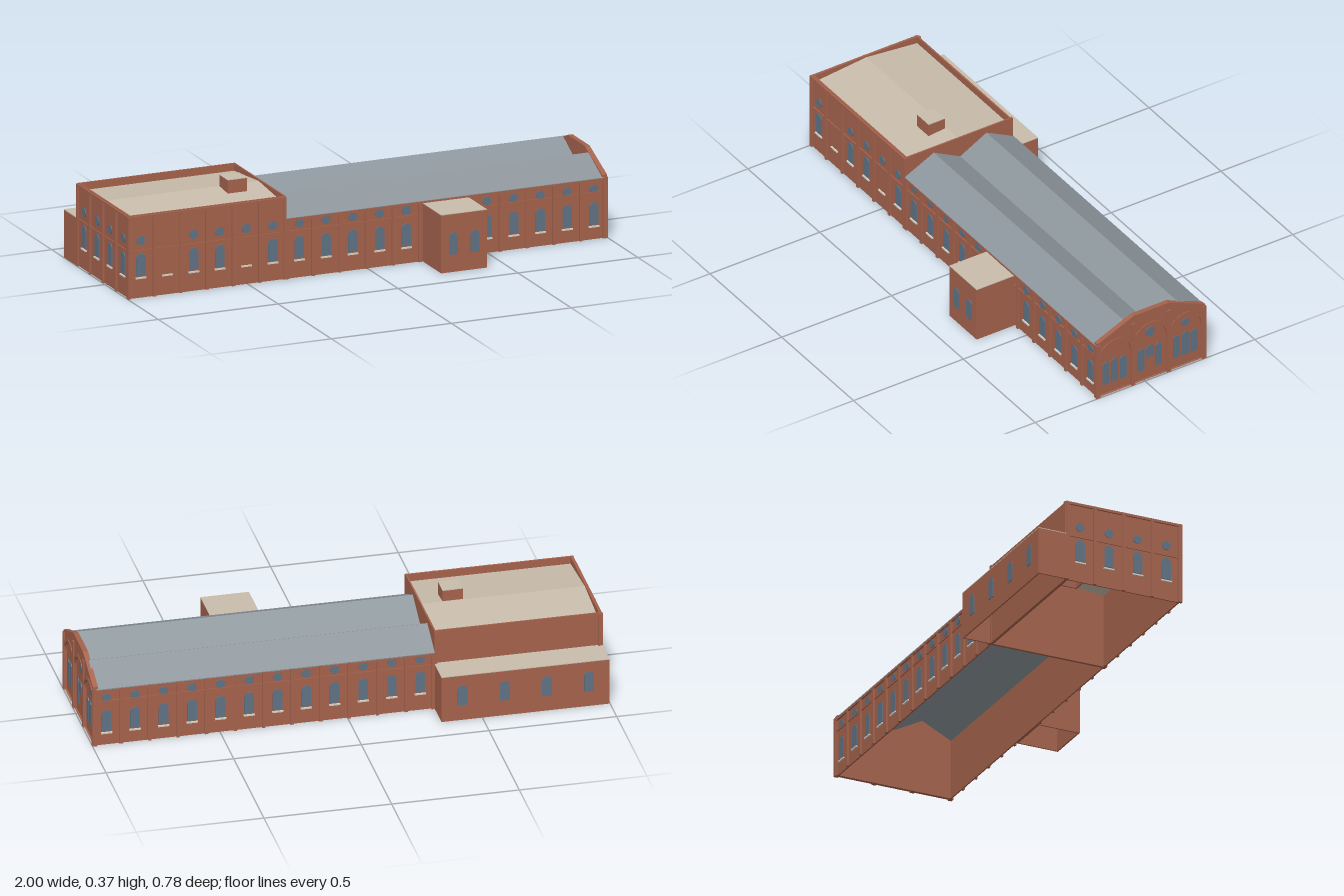
import * as THREE from 'three';

const mat = (name, color) => {
  const m = new THREE.MeshStandardMaterial({ color, side: THREE.DoubleSide });
  m.name = name;
  return m;
};

export function createModel() {
  const brick = mat('brick', 0xa5624c);
  const glass = mat('window blue', 0x5f7284);
  const slate = mat('grey roof', 0x8c959b);
  const tan = mat('tan roof', 0xc8bcab);
  const stone = mat('pale sill', 0xd8d0c2);
  const model = new THREE.Group();

  const add = (parent, name, geo, material) => {
    const m = new THREE.Mesh(geo, material);
    m.name = name;
    parent.add(m);
    return m;
  };
  const box = (parent, name, x0, x1, y0, y1, z0, z1, material = brick) =>
    add(parent, name, new THREE.BoxGeometry(x1 - x0, y1 - y0, z1 - z0)
      .translate((x0 + x1) / 2, (y0 + y1) / 2, (z0 + z1) / 2), material);
  const extrude = (shape, depth) =>
    new THREE.ExtrudeGeometry(shape, { depth, bevelEnabled: false, curveSegments: 10 });

  // Four walls with neither floor nor top
  const walls = (name, x0, x1, y0, y1, z0, z1, t = 0.006) => {
    const ring = (d, C) => new C([[x0 + d, -z0 - d], [x1 - d, -z0 - d], [x1 - d, -z1 + d], [x0 + d, -z1 + d]]
      .map(p => new THREE.Vector2(...p)));
    const s = ring(0, THREE.Shape);
    s.holes.push(ring(t, THREE.Path));
    add(model, name, extrude(s, y1 - y0).rotateX(-Math.PI / 2).translate(0, y0, 0), brick);
  };
  // A (z, y) section swept along x
  const sweep = (name, pts, x0, x1, material) =>
    add(model, name, extrude(new THREE.Shape(pts.map(([z, y]) => new THREE.Vector2(-z, y))), x1 - x0)
      .rotateY(Math.PI / 2).translate(x0, 0, 0), material);
  const strip = (pts, t) => [...pts, ...pts.map(([z, y]) => [z, y - t]).reverse()];

  // Local frame for a facade: x along the wall, z outwards
  const facade = (name, x, z, turn) => {
    const g = new THREE.Group();
    g.name = name;
    g.position.set(x, 0, z);
    g.rotation.y = turn;
    model.add(g);
    return g;
  };
  const archOutline = (C, x, w, y0, y1) => {
    const r = w / 2, s = new C();
    s.moveTo(x - r, y0);
    s.lineTo(x + r, y0);
    s.lineTo(x + r, y1 - r);
    s.absarc(x, y1 - r, r, 0, Math.PI);
    s.closePath();
    return s;
  };
  const archWindow = (g, x, w, y0, y1) =>
    add(g, 'archedWindow', extrude(archOutline(THREE.Shape, x, w, y0, y1), 0.003), glass);
  const roundWindow = (g, x, y, r) =>
    add(g, 'roundWindow', new THREE.CylinderGeometry(r, r, 0.003, 20)
      .rotateX(Math.PI / 2).translate(x, y, 0.0015), glass);

  // A row of bays: piers, string course, cornice, windows and sills
  const bays = (g, from, to, n, top, sillY, blank = [], noRound = [], noWindow = []) => {
    const p = (to - from) / n;
    for (let i = 0; i <= n; i++) {
      const x = Math.min(Math.max(from + i * p, from + 0.006), to - 0.006);
      box(g, 'pier', x - 0.006, x + 0.006, 0, top, 0, 0.008);
    }
    box(g, 'stringCourse', from, to, 0.184, 0.19, 0, 0.004);
    box(g, 'cornice', from, to, top - 0.01, top, 0, 0.007);
    for (let i = 0; i < n; i++) {
      if (blank.includes(i)) continue;
      const x = from + (i + 0.5) * p, y = sillY(x);
      box(g, 'sill', x - 0.022, x + 0.022, y - 0.006, y, 0, 0.006, stone);
      if (!noWindow.includes(i)) archWindow(g, x, 0.038, y + 0.004, y + 0.093);
      if (!noRound.includes(i)) roundWindow(g, x, y + 0.146, 0.018);
    }
  };
  const slope = x => 0.068 - 0.015 * x;

  // Long hall with its double-pitched roof
  walls('hallWalls', -0.34, 0.985, 0, 0.24, -0.272, 0.211);
  const ridges = [[0.217, 0.242], [0.085, 0.306], [-0.035, 0.242], [-0.155, 0.306], [-0.279, 0.242]];
  sweep('hallRoof', strip(ridges, 0.004), -0.34, 0.986, slate);
  bays(facade('hallFront', 0, 0.211, 0), -0.34, 1, 12, 0.24, slope, [5, 6]);
  bays(facade('hallBack', 0, -0.272, Math.PI), -1, 0.34, 12, 0.24, x => slope(-x));

  // Gable end: back panel, pierced front layer, copings and piers
  const gableTop = [[0.215, 0.252], [0.05, 0.322], [-0.11, 0.322], [-0.275, 0.252]];
  sweep('gableWall', [[0.215, 0], ...gableTop, [-0.275, 0]], 0.978, 0.987, brick);
  const gable = facade('gableEnd', 0.987, 0, Math.PI / 2);
  const layer = new THREE.Shape([[0.215, 0.001], ...gableTop, [-0.275, 0.001]]
    .map(([z, y]) => new THREE.Vector2(-z, y)));
  const arches = [[-0.131, 0.143, 0.233], [0.03, 0.143, 0.25], [0.19, 0.143, 0.233]];
  for (const [x, w, top] of arches) {
    layer.holes.push(archOutline(THREE.Path, x, w, 0.003, top));
    const r = w / 2, band = new THREE.Shape();
    band.absarc(x, top - r, r + 0.012, 0.35, Math.PI - 0.35);
    band.absarc(x, top - r, r, Math.PI - 0.35, 0.35, true);
    add(gable, 'archMoulding', extrude(band, 0.01), brick);
  }
  add(gable, 'archedLayer', extrude(layer, 0.007), brick);
  sweep('gableCoping', strip(gableTop, 0.01), 0.978, 0.998, brick);
  for (const [a, b, top] of [[-0.22, -0.203, 0.243], [-0.06, -0.043, 0.285], [0.102, 0.119, 0.285], [0.263, 0.28, 0.243]])
    box(gable, 'gablePier', a, b, 0, top, -0.004, 0.013);
  for (const c of [-0.131, 0.191])
    for (const d of [-0.04, 0, 0.04]) archWindow(gable, c + d, 0.03, 0.047, d ? 0.147 : 0.151);
  for (const d of [-0.04, 0.04]) archWindow(gable, 0.03 + d, 0.03, 0.045, 0.146);
  archWindow(gable, 0.03, 0.036, 0.098, 0.151);
  roundWindow(gable, 0.03, 0.213, 0.021);
  roundWindow(gable, 0.191, 0.195, 0.017);

  // Taller block with parapet and a low-pitched roof
  walls('blockWalls', -0.992, -0.34, 0, 0.33, -0.268, 0.211);
  sweep('blockRoof', strip([[0.206, 0.3], [-0.03, 0.324], [-0.263, 0.3]], 0.003), -0.988, -0.345, tan);
  bays(facade('blockFront', 0, 0.211, 0), -1, -0.34, 6, 0.327, slope, [], [1], [1, 4]);
  bays(facade('blockEnd', -0.992, 0, -Math.PI / 2), -0.272, 0.215, 4, 0.327, () => 0.082);
  for (const x of [-0.994, -0.352]) box(model, 'backCornerPier', x, x + 0.012, 0, 0.327, -0.276, -0.268);
  walls('chimneyWalls', -0.51, -0.43, 0.26, 0.368, -0.026, 0.05);
  box(model, 'chimneyCap', -0.51, -0.43, 0.367, 0.37, -0.026, 0.05, tan);

  // Low rear annex
  walls('annexWalls', -0.998, -0.34, 0, 0.189, -0.39, -0.268);
  box(model, 'annexRoof', -0.998, -0.34, 0.189, 0.192, -0.39, -0.268, tan);
  const annex = facade('annexBack', 0, -0.39, Math.PI);
  for (let i = 0; i < 4; i++) archWindow(annex, 0.4225 + i * 0.165, 0.038, 0.065, 0.148);

  // Front porch
  walls('porchWalls', 0.23, 0.42, 0, 0.23, 0.211, 0.387);
  box(model, 'porchRoof', 0.23, 0.42, 0.23, 0.233, 0.211, 0.387, tan);
  const porch = facade('porchFront', 0, 0.387, 0);
  for (const x of [0.28, 0.37]) archWindow(porch, x, 0.036, 0.07, 0.157);

  return model;
}
